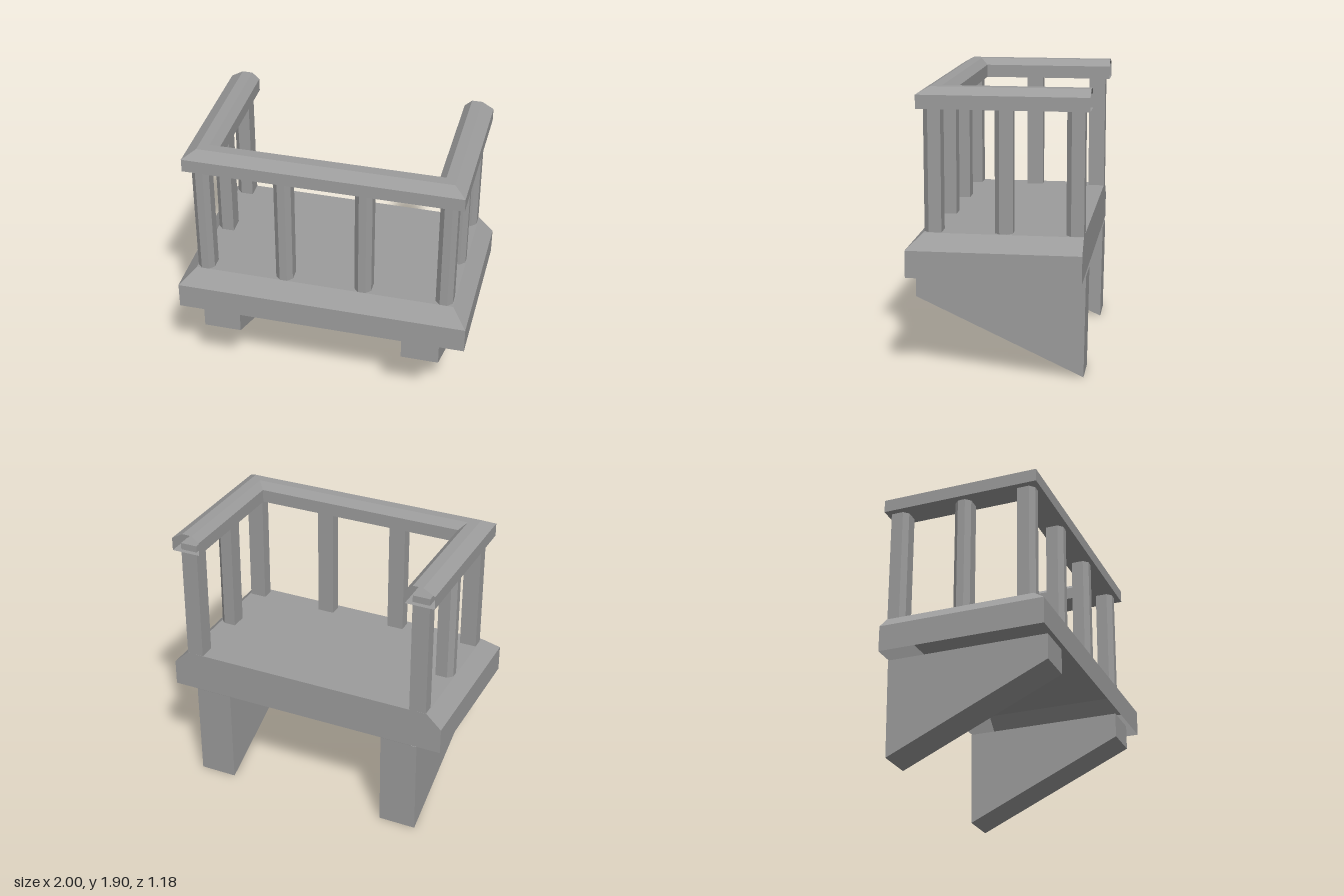
import * as THREE from 'three';

const material = new THREE.MeshStandardMaterial({ color: 0x9c9c9c, flatShading: true, side: THREE.DoubleSide });

function part(name, geometry, parent) {
  const mesh = new THREE.Mesh(geometry, material);
  mesh.name = name;
  parent.add(mesh);
  return mesh;
}

// Sweeps a profile of [inset, height] pairs around the two sides and the front, with mitred corners
function sweepU(profile, halfWidth, front, back) {
  const rows = profile.map(([d, y]) => [
    [halfWidth - d, y, back], [halfWidth - d, y, front - d],
    [d - halfWidth, y, front - d], [d - halfWidth, y, back],
  ]);
  const positions = [];
  for (let j = 0; j < rows.length - 1; j++) {
    for (let i = 0; i < 3; i++) {
      const a = rows[j][i], b = rows[j + 1][i], c = rows[j + 1][i + 1], d = rows[j][i + 1];
      positions.push(...a, ...b, ...c, ...a, ...c, ...d);
    }
  }
  const geometry = new THREE.BufferGeometry();
  geometry.setAttribute('position', new THREE.Float32BufferAttribute(positions, 3));
  geometry.computeVertexNormals();
  return geometry;
}

const shapeOf = (points) => new THREE.Shape(points.map(([x, y]) => new THREE.Vector2(x, y)));

// Square post whose two outward edges are chamfered by the given amounts
function postGeometry(left, right) {
  const h = 0.0585;
  const outline = [[-h, h]];
  outline.push(...(left ? [[-h, left - h], [left - h, -h]] : [[-h, -h]]));
  outline.push(...(right ? [[h - right, -h], [h, right - h]] : [[h, -h]]));
  outline.push([h, h]);
  return new THREE.ExtrudeGeometry(shapeOf(outline), { depth: 0.855, bevelEnabled: false }).rotateX(-Math.PI / 2);
}

// Wedge bracket, deepest at the wall, open on top where it meets the platform
function bracketGeometry() {
  const geometry = new THREE.BoxGeometry(0.26, 1, 1);
  const p = geometry.attributes.position;
  for (let i = 0; i < p.count; i++) {
    const top = p.getY(i) > 0, front = p.getZ(i) > 0;
    p.setY(i, top ? 0.685 : front ? 0.51 : 0);
    p.setZ(i, front ? 0.555 : top ? -0.565 : -0.555);
  }
  geometry.setIndex([...geometry.index.array].filter((_, i) => i < 12 || i >= 18));
  geometry.computeVertexNormals();
  return geometry;
}

export function createModel() {
  const model = new THREE.Group();
  model.name = 'balcony';

  // Platform: hollow underneath, bevelled on three sides, flat at the wall
  const platform = new THREE.Group();
  platform.name = 'platform';
  model.add(platform);
  const back = -0.555;
  part('platformRim', sweepU([[0, 0.68], [0, 0.86], [0.105, 0.96]], 1, 0.59, back), platform);
  const floor = part('floor', new THREE.PlaneGeometry(1.79, 1.04).rotateX(-Math.PI / 2), platform);
  floor.position.set(0, 0.96, back + 0.52);
  const wallSide = part('platformBack', new THREE.ShapeGeometry(shapeOf([
    [-1, 0.68], [1, 0.68], [1, 0.86], [0.895, 0.96], [-0.895, 0.96], [-1, 0.86],
  ])).rotateY(Math.PI), platform);
  wallSide.position.z = back;

  // Handrail: bevelled on both top edges, open at the wall ends
  part('handrail', sweepU([
    [0, 1.77], [0, 1.86], [0.08, 1.905], [0.15, 1.905], [0.2, 1.86], [0.2, 1.77], [0, 1.77],
  ], 0.935, 0.52, -0.59), model);

  // Posts: those at the wall keep a square back edge
  const chamfer = 0.033;
  const addPost = (name, geometry, x, z, turn) => {
    const post = part(name, geometry, model);
    post.position.set(x, 0.961, z);
    post.rotation.y = turn;
  };
  const fullPost = postGeometry(chamfer, chamfer);
  for (const x of [-0.833, -0.277, 0.27, 0.828]) addPost('frontPost', fullPost, x, 0.427, 0);
  for (const side of [-1, 1]) {
    const wallPost = side > 0 ? postGeometry(chamfer, 0) : postGeometry(0, chamfer);
    addPost('sidePost', fullPost, side * 0.832, -0.035, side * Math.PI / 2);
    addPost('wallPost', wallPost, side * 0.832, -0.497, side * Math.PI / 2);
  }

  // Brackets
  const bracket = bracketGeometry();
  for (const x of [-0.708, 0.695]) part('bracket', bracket, model).position.x = x;

  return model;
}
